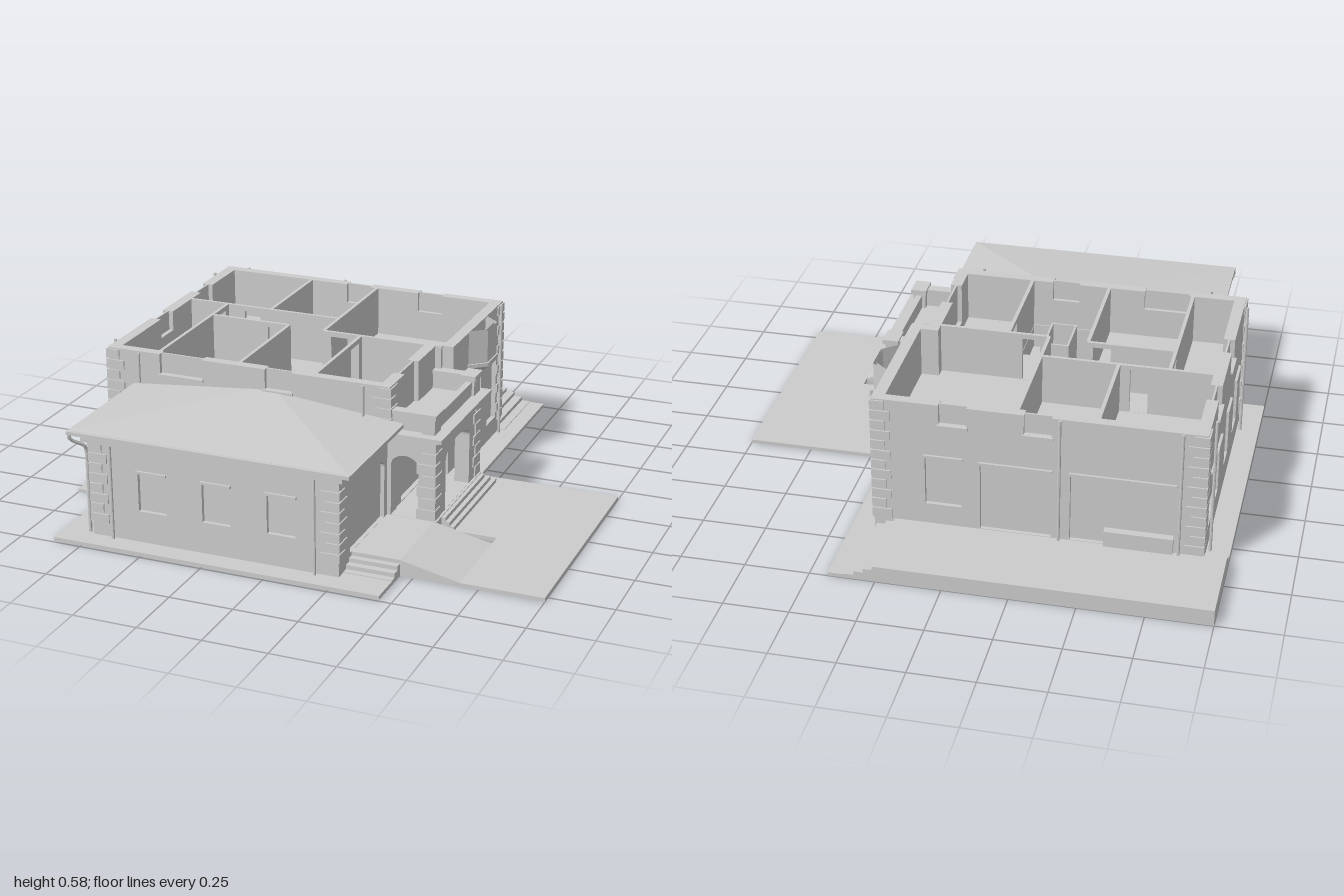
import * as THREE from 'three';

const mat = new THREE.MeshStandardMaterial({ color: 0xcccccc, flatShading: true, side: THREE.DoubleSide });

export function createModel() {
  const root = new THREE.Group();
  let group = root;
  const part = (name) => { group = new THREE.Group(); group.name = name; root.add(group); };
  const add = (name, geo) => {
    const m = new THREE.Mesh(geo, mat);
    m.name = name;
    group.add(m);
    return m;
  };
  // box given by its limits
  const box = (name, x0, x1, y0, y1, z0, z1) =>
    add(name, new THREE.BoxGeometry(x1 - x0, y1 - y0, z1 - z0)
      .translate((x0 + x1) / 2, (y0 + y1) / 2, (z0 + z1) / 2));
  const extrude = (shape, depth) => new THREE.ExtrudeGeometry(shape, { depth, bevelEnabled: false, curveSegments: 10 });

  // Wall along 'x' or 'z' from a0 to a1, filling c0..c1 across.
  // holes: [from, to, bottom, top, rise, open] (rise > 0 arches the top); notches cut the top edge.
  function wall(name, axis, a0, a1, c0, c1, y0, y1, holes = [], notches = [], out = 0) {
    const place = (n, lo, hi, b, t, d0, d1) =>
      axis === 'x' ? box(n, lo, hi, b, t, d0, d1) : box(n, d0, d1, b, t, lo, hi);
    const mid = (c0 + c1) / 2;
    const face = out > 0 ? [c1 - 0.01, c1 + 0.01] : [c0 - 0.01, c0 + 0.01];
    const s = new THREE.Shape();
    s.moveTo(a0, y0).lineTo(a1, y0).lineTo(a1, y1);
    for (const [n0, n1, b] of [...notches].sort((p, q) => q[0] - p[0])) {
      s.lineTo(n1, y1).lineTo(n1, b).lineTo(n0, b).lineTo(n0, y1);
      place('pane', n0, n1, b, y1, mid - 0.004, mid + 0.004);
      if (out) place('sill', n0 - 0.006, n1 + 0.006, b - 0.01, b, ...face);
    }
    s.lineTo(a0, y1).closePath();
    for (const [h0, h1, b, t, rise = 0, open = false] of holes) {
      const p = new THREE.Path();
      p.moveTo(h0, b).lineTo(h0, t - rise);
      if (rise) p.absellipse((h0 + h1) / 2, t - rise, (h1 - h0) / 2, rise, Math.PI, 0, true);
      else p.lineTo(h1, t);
      p.lineTo(h1, b).closePath();
      s.holes.push(p);
      if (!open) place('pane', h0, h1, b, t - rise * 0.3, mid - 0.004, mid + 0.004);
      if (out) place('lintel', h0 - 0.005, h1 + 0.005, t, t + 0.01, ...face);
    }
    const m = add(name, extrude(s, c1 - c0));
    if (axis === 'x') m.position.z = c0;
    else { m.rotation.y = -Math.PI / 2; m.position.x = c1; }
  }

  // alternating corner stones; sx, sz point outward from the corner
  function quoins(x, z, sx, sz, y0, y1) {
    const n = Math.round((y1 - y0) / 0.043), h = (y1 - y0) / n, o = 0.006;
    const span = (c, s, len) => [c + s * o, c - s * len].sort((a, b) => a - b);
    for (let i = 0; i < n; i++) {
      const y = y0 + i * h, t = y + h - 0.006;
      // two thin leaves so the rooms inside stay clear
      box('quoin', ...span(x, sx, i % 2 ? 0.05 : 0.07), y, t, ...span(z, sz, 0.03));
      box('quoin', ...span(x, sx, 0.03), y, t, ...span(z, sz, i % 2 ? 0.07 : 0.05));
    }
  }
  const pipe = (x, z, y0, y1) =>
    add('downpipe', new THREE.CylinderGeometry(0.006, 0.006, y1 - y0, 8).translate(x, (y0 + y1) / 2, z));

  // Thin paving around the buildings, with a narrow slot beside the ramp
  part('paving');
  for (const [x0, x1, z0, z1] of [
    [-1, -0.9, -0.66, 0.56], [-0.9, -0.735, 0.425, 0.56], [-0.865, -0.735, 0.56, 0.99],
    [-0.735, 0.255, 0.9, 0.99], [0.255, 0.45, 0.43, 0.99], [0.335, 0.43, -1, -0.07], [0.26, 0.335, -1, -0.66],
    [0.43, 1, -0.165, 0.375], [0.43, 1, 0.425, 0.785], [0.68, 1, 0.375, 0.425], [0.43, 0.49, 0.375, 0.425],
  ]) box('paving', x0, x1, 0, 0.015, z0, z1);
  const ramp = new THREE.Shape([[0.45, 0], [0.68, 0], [0.68, 0.015], [0.45, 0.065]].map((p) => new THREE.Vector2(...p)));
  add('ramp', extrude(ramp, 0.355)).position.z = 0.43;
  box('rampLanding', 0.26, 0.45, 0, 0.065, 0.43, 0.785);
  // Hollow terrace and steps
  box('terrace', -1, 0.26, 0.05, 0.065, -1, -0.65);
  box('terraceSkirt', -1, 0.26, 0, 0.05, -1, -0.985);
  box('terraceSkirt', -1, -0.985, 0, 0.05, -0.985, -0.65);
  for (let i = 0; i < 3; i++) {
    const h = 0.05 - i * 0.016;
    box('terraceStep', 0.25, 0.295 + i * 0.036, 0, h, -1, -0.65);
    box('sideStep', -1, -0.9, 0, h, -0.66, -0.63 + i * 0.03);
    box('garageStep', 0.26, 0.45, 0, h, 0.78, 0.81 + i * 0.027);
    box('porchStep', 0.4, 0.475 + i * 0.018, 0, h + 0.012, -0.08 - i * 0.02, 0.375);
    box('wingStep', -0.77 - i * 0.03, -0.735, 0, h, 0.43, 0.6 + i * 0.03);
  }

  // Main house shell
  part('house');
  const T = 0.58, F = 0.38;
  wall('frontWall', 'x', -0.91, 0.27, 0.39, 0.43, 0, T, [],
    [[-0.685, -0.505, 0.5], [-0.24, -0.13, 0.5]], 1);
  wall('backWall', 'x', -0.91, 0.34, -0.67, -0.63, 0, T,
    [[0, 0.14, 0.15, 0.355], [-0.34, -0.07, 0.067, 0.35], [-0.8, -0.41, 0.067, 0.35]],
    [[-0.34, -0.235, 0.5], [-0.02, 0.085, 0.5]], -1);
  box('lowSill', -0.8, -0.54, 0.065, 0.13, -0.685, -0.65);
  wall('leftWall', 'z', -0.67, 0.43, -0.91, -0.865, 0, T,
    [[-0.54, -0.27, 0.11, 0.345], [-0.1, 0.01, 0.11, 0.345], [0.15, 0.27, 0.11, 0.345]],
    [[-0.41, -0.3, 0.5], [-0.04, 0.065, 0.5]], -1);
  wall('rightWall', 'z', -0.67, -0.07, 0.295, 0.34, 0, T,
    [[-0.225, -0.115, 0.09, 0.345], [-0.41, -0.3, 0.09, 0.345], [-0.6, -0.49, 0.09, 0.345]]
      .map((w) => [...w, 0]));
  wall('porchWall', 'z', -0.07, 0.43, 0.225, 0.27, 0, T,
    [[0.04, 0.31, 0.068, 0.32, 0.05]], [[0.13, 0.28, 0.415]]);
  box('jogWall', 0.225, 0.34, 0, T, -0.11, -0.07);
  quoins(-0.91, 0.43, -1, 1, 0.07, T);
  quoins(-0.91, -0.67, -1, -1, 0.07, T);
  quoins(0.34, -0.67, 1, -1, 0.07, T);
  quoins(0.27, 0.43, 1, 1, 0.42, T);
  box('groundFloor', -0.9, 0.26, 0.05, 0.065, -0.66, 0.42);
  box('groundFloor', 0.26, 0.335, 0.05, 0.065, -0.66, -0.08);

  // Upper floor with stairwell
  const floor = new THREE.Shape([[-0.87, -0.64], [0.3, -0.64], [0.3, -0.09], [0.23, -0.09], [0.23, 0.4], [-0.87, 0.4]]
    .map((p) => new THREE.Vector2(...p)));
  floor.holes.push(new THREE.Path([[-0.35, 0.11], [-0.05, 0.11], [-0.05, 0.385], [-0.35, 0.385]]
    .map((p) => new THREE.Vector2(...p))));
  add('upperFloor', extrude(floor, 0.02).rotateX(Math.PI / 2)).position.y = F;

  // Partitions: [axis, from, to, centre, door start, door end]
  part('partitions');
  for (const [axis, a0, a1, c, d0, d1] of [
    ['z', -0.63, -0.22, -0.505], ['z', -0.63, -0.06, -0.205], ['x', -0.865, -0.205, -0.217, -0.62, -0.55],
    ['x', -0.205, 0.295, -0.06, -0.17, -0.1], ['z', -0.217, 0.39, -0.7, -0.18, -0.1],
    ['x', -0.7, -0.36, -0.07, -0.45, -0.38], ['z', -0.07, 0.39, -0.36], ['z', -0.06, 0.39, -0.045, -0.02, 0.06],
  ]) {
    wall('partition', axis, a0, a1, c - 0.007, c + 0.007, F, T,
      d0 === undefined ? [] : [[d0, d1, F + 0.001, 0.56, 0, true]]);
    wall('lowerPartition', axis, a0, a1, c - 0.007, c + 0.007, 0.06, F - 0.01);
  }

  // Stairs winding round a central core
  part('stairs');
  for (let i = 0; i < 5; i++) {
    const y = 0.09 + i * 0.02, z = 0.12 + i * 0.028;
    box('lowerStep', -0.35, -0.25, 0.065, y, z, z + 0.028);
    box('middleStep', -0.25 + i * 0.02, -0.23 + i * 0.02, 0.18, 0.19 + i * 0.02, 0.29, 0.385);
    box('upperStep', -0.15, -0.05, 0.27, 0.29 + i * 0.02, 0.232 - i * 0.028, 0.26 - i * 0.028);
  }
  box('landing', -0.35, -0.25, 0.15, 0.18, 0.26, 0.385);
  box('landing', -0.15, -0.05, 0.25, 0.28, 0.26, 0.385);
  for (const x of [-0.25, -0.154]) box('coreWall', x, x + 0.008, 0.065, 0.45, 0.11, 0.29);
  for (const z of [0.11, 0.282]) box('coreWall', -0.25, -0.146, 0.065, 0.45, z, z + 0.008);

  // Bay on the upper right side: three-sided walls over a flared corbel
  part('bay');
  const bay = (name, rTop, rBottom, y0, y1, open) =>
    add(name, new THREE.CylinderGeometry(rTop, rBottom, y1 - y0, 3, 1, open, 0, Math.PI)
      .scale(0.68, 1, 1).translate(0.336, (y0 + y1) / 2, -0.358));
  bay('bayWalls', 0.112, 0.112, 0.44, T, true);
  bay('bayInnerWalls', 0.095, 0.095, 0.44, T, true);
  bay('bayBase', 0.122, 0.122, 0.43, 0.445, false);
  bay('bayCorbel', 0.12, 0.075, 0.403, 0.43, false);

  // Front wing with arched garage door
  part('wing');
  wall('wingFront', 'x', -0.74, 0.26, 0.865, 0.905, 0, 0.43,
    [-0.487, -0.225, 0.035].map((c) => [c - 0.057, c + 0.057, 0.14, 0.295]), [], 1);
  wall('wingRight', 'z', 0.43, 0.9, 0.22, 0.26, 0, 0.43, [[0.46, 0.8, 0.066, 0.32, 0.045]]);
  wall('wingLeft', 'z', 0.43, 0.9, -0.74, -0.7, 0, 0.43, [[0.48, 0.58, 0.066, 0.3]]);
  box('wingFloor', -0.73, 0.25, 0.05, 0.065, 0.42, 0.89);
  quoins(-0.74, 0.905, -1, 1, 0.07, 0.395);
  quoins(0.26, 0.905, 1, 1, 0.07, 0.395);
  box('wingCornice', -0.765, 0.285, 0.395, 0.415, 0.43, 0.93);
  box('eaves', -0.795, 0.315, 0.425, 0.445, 0.43, 0.95);
  const pts = [[-0.8, 0.445, 0.955], [0.32, 0.445, 0.955], [0.32, 0.445, 0.43], [-0.8, 0.445, 0.43],
    [-0.28, 0.495, 0.43], [-0.19, 0.495, 0.43]];
  const roof = new THREE.BufferGeometry();
  roof.setAttribute('position', new THREE.Float32BufferAttribute(pts.flat(), 3));
  roof.setIndex([0, 1, 5, 0, 5, 4, 1, 2, 5, 3, 0, 4, 2, 3, 4, 2, 4, 5]);
  add('hipRoof', roof.toNonIndexed()).geometry.computeVertexNormals();
  box('gutter', -0.805, 0.325, 0.428, 0.442, 0.948, 0.962);
  for (const x of [-0.805, 0.313]) box('gutter', x, x + 0.012, 0.428, 0.442, 0.43, 0.96);

  // Porch with arches, cornice and balcony above
  part('porch');
  box('porchFloor', 0.27, 0.46, 0, 0.065, -0.08, 0.43);
  wall('porchFront', 'x', 0.26, 0.45, 0.37, 0.43, 0.06, 0.4, [[0.275, 0.385, 0.066, 0.315, 0.045, true]]);
  wall('porchBack', 'x', 0.26, 0.45, -0.07, -0.01, 0.06, 0.4, [[0.345, 0.385, 0.066, 0.315, 0.03, true]]);
  wall('porchSide', 'z', -0.07, 0.43, 0.39, 0.45, 0.06, 0.4, [[0.04, 0.31, 0.066, 0.32, 0.05, true]]);
  quoins(0.45, 0.43, 1, 1, 0.07, 0.39);
  quoins(0.45, -0.07, 1, -1, 0.07, 0.39);
  box('porchCornice', 0.26, 0.475, 0.39, 0.402, -0.09, 0.455);
  box('porchCornice', 0.26, 0.49, 0.4, 0.415, -0.1, 0.47);
  box('parapet', 0.415, 0.44, 0.41, 0.47, -0.06, 0.42);
  for (const z of [-0.06, 0.39]) {
    box('parapet', 0.26, 0.44, 0.41, 0.475, z, z + 0.03);
    box('coping', 0.26, 0.45, 0.475, 0.49, z - 0.006, z + 0.036);
  }
  for (const z of [-0.075, 0.365]) {
    box('pier', 0.4, 0.45, 0.41, 0.48, z, z + 0.07);
    box('pierCap', 0.395, 0.458, 0.478, 0.497, z - 0.008, z + 0.078);
  }

  // Downpipes
  part('downpipes');
  for (const [x, z] of [[-0.82, -0.68], [-0.37, -0.68], [-0.925, -0.56], [-0.925, 0.34], [0.355, -0.61]]) pipe(x, z, 0.02, T);
  for (const x of [-0.765, 0.17]) pipe(x, 0.452, 0.46, T);
  for (const x of [-0.65, 0.17]) pipe(x, 0.918, 0.015, 0.43);
  const bend = new THREE.CatmullRomCurve3([[-0.8, 0.43, 0.95], [-0.8, 0.405, 0.945], [-0.765, 0.37, 0.9], [-0.762, 0.34, 0.89], [-0.762, 0.015, 0.89]]
    .map((p) => new THREE.Vector3(...p)), false, 'catmullrom', 0.1);
  add('downpipe', new THREE.TubeGeometry(bend, 24, 0.007, 8));

  return root;
}
